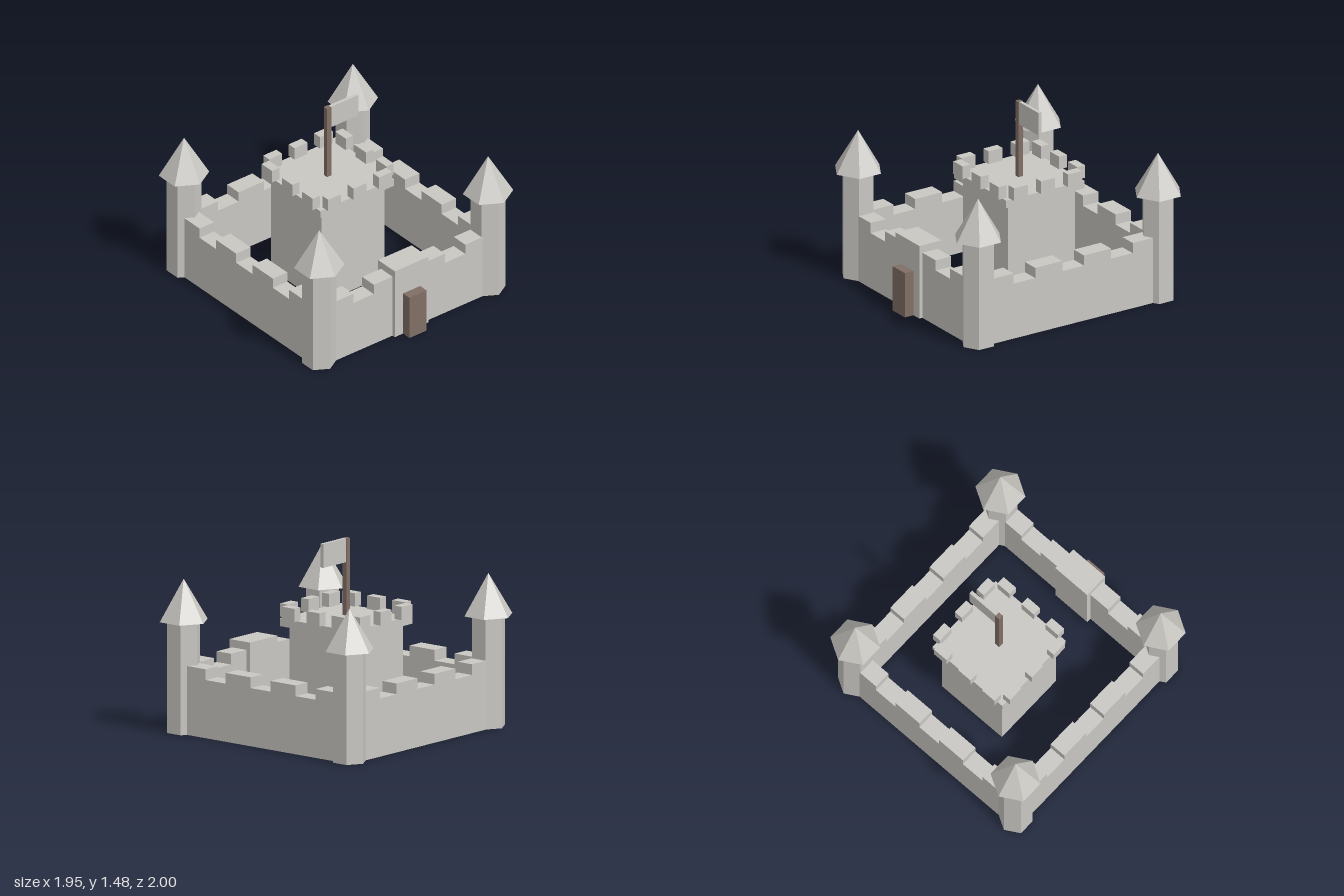
import * as THREE from 'three';

export function createModel() {
  const stone = new THREE.MeshStandardMaterial({ color: 0xc9c7c2, flatShading: true });
  stone.name = 'stone';
  const wood = new THREE.MeshStandardMaterial({ color: 0x806e65, flatShading: true });
  wood.name = 'wood';

  const castle = new THREE.Group();
  castle.name = 'castle';

  const group = (name, parent = castle) => {
    const g = new THREE.Group();
    g.name = name;
    parent.add(g);
    return g;
  };
  const add = (name, geometry, material, parent, x, y, z) => {
    const m = new THREE.Mesh(geometry, material);
    m.name = name;
    m.position.set(x, y, z);
    parent.add(m);
  };
  // box standing on height y
  const box = (name, material, parent, w, h, d, x, y, z) =>
    add(name, new THREE.BoxGeometry(w, h, d), material, parent, x, y + h / 2, z);

  const C = 0.808; // distance of towers and walls from the centre

  // hexagonal corner towers with pointed roofs
  for (const sx of [-1, 1]) {
    for (const sz of [-1, 1]) {
      const tower = group('cornerTower');
      tower.position.set(sx * C, 0, sz * C);
      add('towerBody', new THREE.CylinderGeometry(0.131, 0.131, 0.852, 6), stone, tower, 0, 0.426, 0);
      add('towerRoof', new THREE.ConeGeometry(0.191, 0.32, 6), stone, tower, 0, 1.011, 0);
    }
  }

  // four curtain walls, each with the same battlements
  const wallNames = ['frontWall', 'leftWall', 'backWall', 'rightWall'];
  wallNames.forEach((name, i) => {
    const wall = group(name);
    wall.rotation.y = (i * Math.PI) / 2;
    box('wallBody', stone, wall, C * 2, 0.445, 0.138, 0, 0, C);
    for (const x of [-0.657, -0.219, 0.219, 0.657]) {
      box('wallMerlon', stone, wall, 0.243, 0.082, 0.138, x, 0.445, C);
    }
  });

  // gatehouse and door
  const gate = group('gatehouse');
  box('gateBlock', stone, gate, 0.322, 0.587, 0.2, 0, 0, 0.804);
  box('door', wood, gate, 0.164, 0.358, 0.1, 0, 0, 0.932);

  // central keep with a crenellated platform
  const keep = group('keep');
  keep.position.z = -0.1;
  box('keepBody', stone, keep, 0.604, 0.812, 0.604, 0, 0, 0);
  box('keepPlatform', stone, keep, 0.704, 0.06, 0.704, 0, 0.809, 0);
  for (let i = 0; i < 4; i++) {
    const side = group('keepBattlement', keep);
    side.rotation.y = (i * Math.PI) / 2;
    for (const x of [-0.243, 0, 0.243]) {
      box('keepMerlon', stone, side, 0.125, 0.102, 0.07, x, 0.869, 0.353);
    }
  }

  // flagpole and flag
  box('flagpole', wood, keep, 0.04, 0.607, 0.04, 0, 0.869, 0);
  box('flag', stone, keep, 0.264, 0.182, 0.028, 0.151, 1.294, 0);

  return castle;
}
